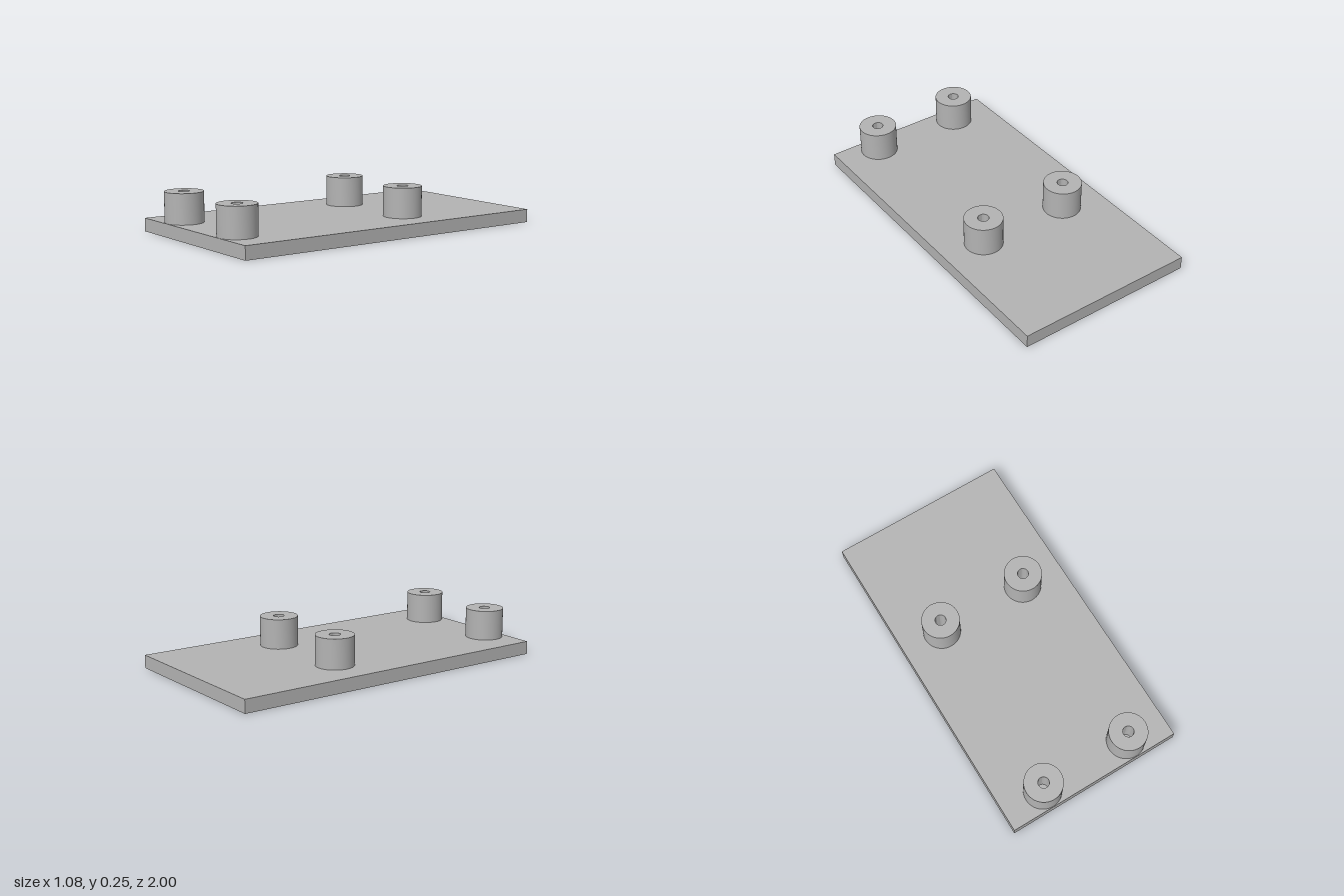
import * as THREE from 'three';
import { toCreasedNormals } from 'three/addons/utils/BufferGeometryUtils.js';

const PLATE_TOP = 0.078;
const POST_TOP = 0.255;
const POST_RADIUS = 0.112;
const HOLE_RADIUS = 0.032;

export function createModel() {
  const model = new THREE.Group();
  model.name = 'standoffPlate';
  const grey = new THREE.MeshStandardMaterial({ color: 0xb3b3b3 });
  grey.name = 'plain grey';

  // Flat base plate
  const plate = new THREE.Mesh(new THREE.BoxGeometry(1.08, PLATE_TOP, 2), grey);
  plate.name = 'basePlate';
  plate.position.y = PLATE_TOP / 2;
  model.add(plate);

  // Hollow post: outer wall, top ring and bore, with the plate as the bore's floor
  const profile = [
    [POST_RADIUS, PLATE_TOP],
    [POST_RADIUS, POST_TOP],
    [HOLE_RADIUS, POST_TOP],
    [HOLE_RADIUS, PLATE_TOP],
  ].map(([r, y]) => new THREE.Vector2(r, y));
  const postGeometry = toCreasedNormals(new THREE.LatheGeometry(profile, 64), Math.PI / 4);

  // Two mirrored pairs of posts
  for (const [row, z] of [['front', 0.885], ['rear', -0.242]]) {
    for (const [side, x] of [['Left', 0.281], ['Right', -0.281]]) {
      const post = new THREE.Mesh(postGeometry, grey);
      post.name = `${row}${side}Post`;
      post.position.set(x, 0, z);
      model.add(post);
    }
  }
  return model;
}
